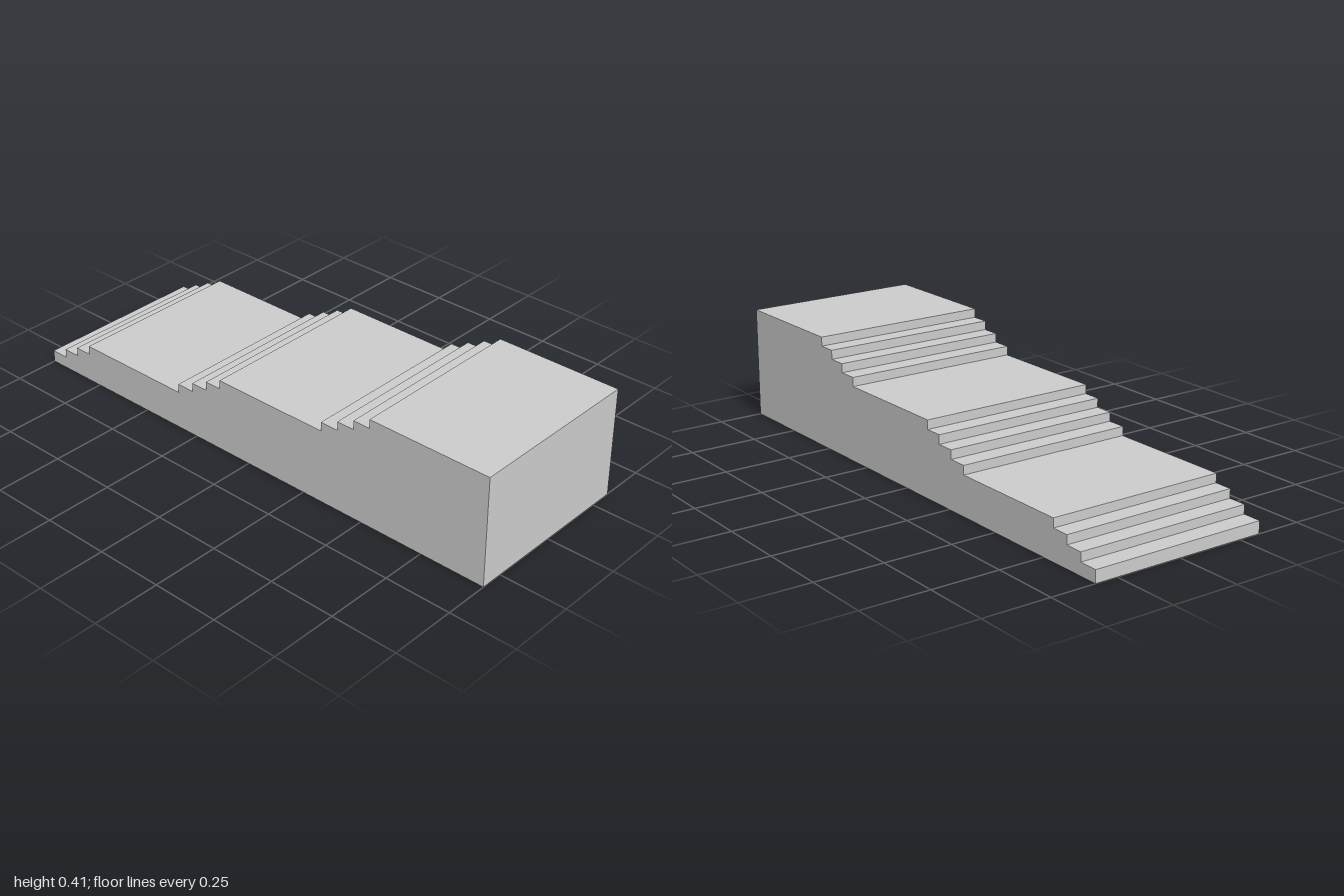
import * as THREE from 'three';

export function createModel() {
  const group = new THREE.Group();
  group.name = 'terracedStairs';

  const depth = 0.667;
  const firstRise = 0.045, rise = 0.033;
  const flightStarts = [-1, -0.332, 0.328]; // x of the first riser of each flight
  const treadOffsets = [0, 0.07, 0.137, 0.203]; // risers within a flight

  // Side profile: three flights of four risers, each ending in a long landing
  const profile = new THREE.Shape();
  profile.moveTo(1, 0);
  let y = 0;
  const points = [];
  for (const start of flightStarts) {
    for (const offset of treadOffsets) {
      const x = start + offset;
      points.push([x, y]);
      y += y === 0 ? firstRise : rise;
      points.push([x, y]);
    }
  }
  points.push([1, y]);
  // Trace from the top landing down to the foot for a counter-clockwise outline
  for (const [px, py] of points.reverse()) profile.lineTo(px, py);
  profile.closePath();

  const geometry = new THREE.ExtrudeGeometry(profile, { depth, bevelEnabled: false });
  geometry.translate(0, 0, -depth / 2);

  const stairs = new THREE.Mesh(
    geometry,
    new THREE.MeshStandardMaterial({ color: 0xcccccc, flatShading: true })
  );
  stairs.name = 'stepsAndLandings';
  group.add(stairs);
  return group;
}
